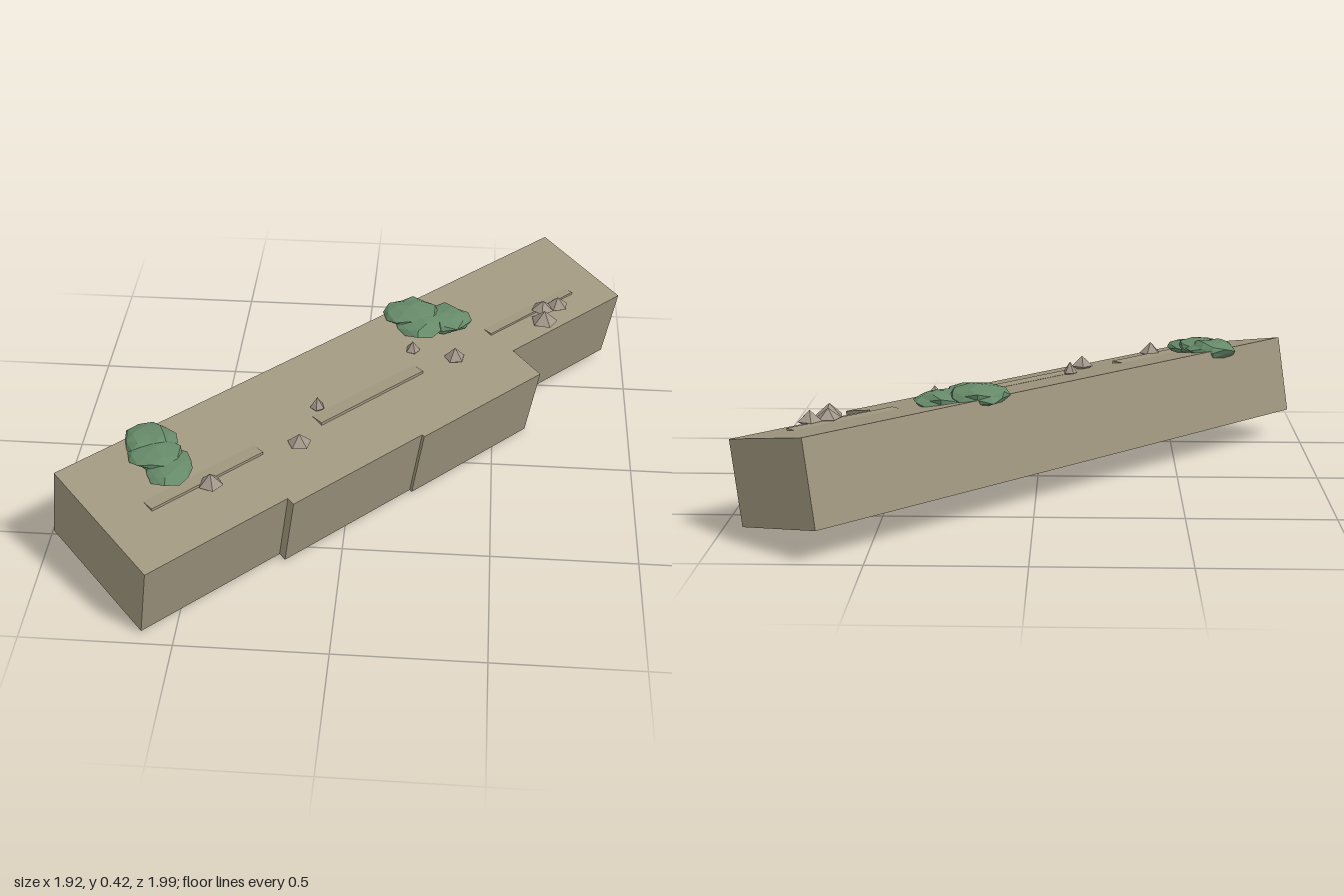
import * as THREE from 'three';

const TILT = 0.197; // forward slope of the ledge

export function createModel() {
  const model = new THREE.Group();
  const stone = new THREE.MeshStandardMaterial({ name: 'stone', color: 0xa0967f, flatShading: true });
  const rubble = new THREE.MeshStandardMaterial({ name: 'rubble', color: 0xa2978a, flatShading: true });
  const leaf = new THREE.MeshStandardMaterial({ name: 'leaf', color: 0x668a69, flatShading: true });

  function add(parent, name, geometry, material) {
    const mesh = new THREE.Mesh(geometry, material);
    mesh.name = name;
    parent.add(mesh);
    return mesh;
  }

  // Ledge frame: x runs along the ledge, z towards its face, origin on the back top edge
  const ledge = new THREE.Group();
  ledge.name = 'ledge';
  ledge.rotation.set(TILT, Math.PI / 4, 0, 'YXZ');
  ledge.position.set(-0.14, 0.39, -0.14);
  model.add(ledge);

  // Slab with four front steps of equal length and different depth
  const start = -1.103, step = 0.566;
  const outline = new THREE.Shape();
  outline.moveTo(start, 0);
  [0.506, 0.536, 0.547, 0.404].forEach((depth, i) => {
    outline.lineTo(start + i * step, -depth);
    outline.lineTo(start + (i + 1) * step, -depth);
  });
  outline.lineTo(start + 4 * step, 0);
  const slab = new THREE.ExtrudeGeometry(outline, { depth: 0.285, bevelEnabled: false });
  slab.rotateX(-Math.PI / 2).translate(0, -0.285, 0);
  add(ledge, 'slab', slab, stone);

  // Level ribs that emerge from the sloping top
  [[-0.935, -0.485, 0.283, 0.003], [-0.235, 0.232, 0.287, 0.004], [0.582, 1.01, 0.276, 0.001]]
    .forEach(([x0, x1, z, lift]) => {
      const rib = add(ledge, 'rib', new THREE.BoxGeometry(x1 - x0, 0.024, 0.05), stone);
      rib.position.set((x0 + x1) / 2, lift - 0.01, z);
      rib.rotation.x = -TILT;
    });

  // Loose stones: five-sided with a pointed top and a shallow underside
  [
    [-0.42, 0.336, 0.59, 0.042, 0.042], [-0.155, 0.336, 0.352, 0.042, 0.036],
    [-0.112, 0.349, 0.163, 0.026, 0.04], [0.198, 0.352, -0.2, 0.027, 0.036],
    [0.35, 0.336, -0.187, 0.038, 0.041], [0.668, 0.342, -0.52, 0.042, 0.034],
    [0.674, 0.333, -0.452, 0.05, 0.043], [0.724, 0.34, -0.55, 0.042, 0.036],
  ].forEach(([x, y, z, radius, height], i) => {
    const profile = [[0, -0.024], [radius, 0], [0, height]].map(p => new THREE.Vector2(...p));
    const rock = add(model, 'looseStone', new THREE.LatheGeometry(profile, 5), rubble);
    rock.position.set(x, y, z);
    rock.rotation.y = i * 1.7 + 0.3;
  });

  // Flattened shrubs with a rule-based ragged surface
  function shrub(name, lobes) {
    const group = new THREE.Group();
    group.name = name;
    model.add(group);
    lobes.forEach(([x, y, z, radius, height], k) => {
      const geometry = new THREE.IcosahedronGeometry(1, 1);
      const pos = geometry.attributes.position, p = new THREE.Vector3();
      for (let i = 0; i < pos.count; i++) {
        p.fromBufferAttribute(pos, i);
        const ragged = 1 + 0.13 * Math.sin(p.x * 7.1 + p.y * 5.3 + p.z * 9.7 + k * 2 + x * 10);
        p.multiplyScalar(ragged);
        pos.setXYZ(i, p.x * radius, p.y * height, p.z * radius);
      }
      geometry.computeVertexNormals();
      add(group, 'shrubLobe', geometry, leaf).position.set(x, y, z);
    });
  }
  shrub('leftShrub', [[-0.645, 0.384, 0.445, 0.09, 0.034], [-0.61, 0.38, 0.505, 0.085, 0.03],
    [-0.56, 0.368, 0.555, 0.085, 0.028]]);
  shrub('rightShrub', [[0.185, 0.39, -0.38, 0.095, 0.034], [0.215, 0.385, -0.33, 0.09, 0.03],
    [0.305, 0.373, -0.375, 0.09, 0.03]]);

  return model;
}
